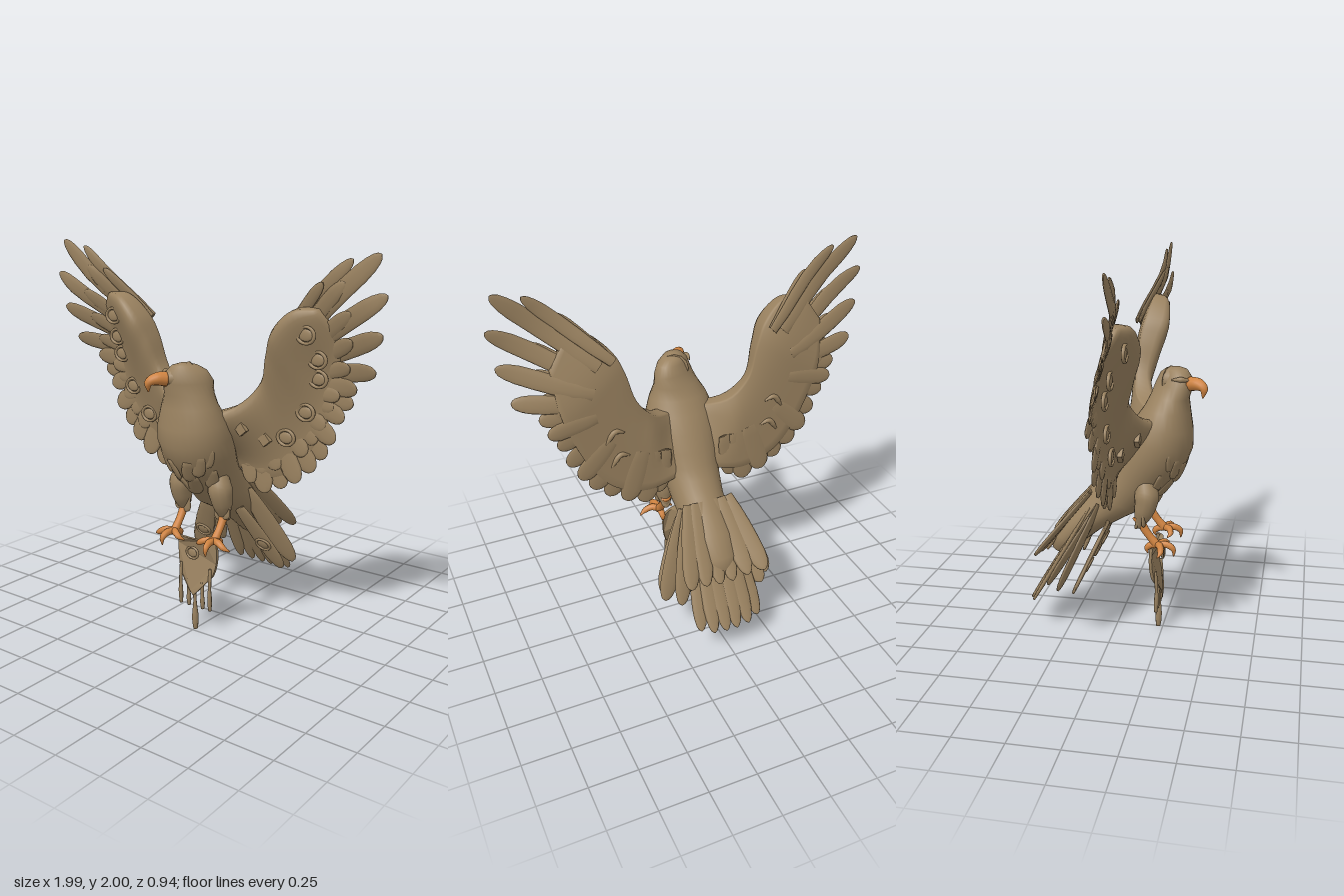
import * as THREE from 'three';

const V = (x, y, z) => new THREE.Vector3(x, y, z);
const plumage = new THREE.MeshStandardMaterial({ color: 0x9a8260 });
plumage.name = 'brown plumage';
const horn = new THREE.MeshStandardMaterial({ color: 0xcf8340 });
horn.name = 'orange horn';
const TAU = Math.PI * 2;
const smooth = THREE.MathUtils.smoothstep;

// Closed skin over a list of rings, wound so that it faces outward
function loft(rings) {
  const n = rings[0].length, m = rings.length, pts = rings.flat(), idx = [];
  const mid = r => r.reduce((a, p) => a.add(p), V(0, 0, 0)).divideScalar(n);
  pts.push(mid(rings[0]), mid(rings[m - 1]));
  for (let j = 0; j < n; j++) {
    const k = (j + 1) % n;
    for (let i = 0; i < m - 1; i++) {
      const a = i * n + j, b = i * n + k;
      idx.push(a, b, a + n, b, b + n, a + n);
    }
    idx.push(n * m, k, j, n * m + 1, (m - 1) * n + j, (m - 1) * n + k);
  }
  let vol = 0;
  for (let i = 0; i < idx.length; i += 3)
    vol += pts[idx[i]].dot(V(0, 0, 0).crossVectors(pts[idx[i + 1]], pts[idx[i + 2]]));
  if (vol < 0) idx.reverse();
  const g = new THREE.BufferGeometry().setFromPoints(pts);
  g.setIndex(idx);
  g.computeVertexNormals();
  return g;
}

// Tapered round limb along a smooth path
function limb(path, radii, seg = 16, sides = 12) {
  const curve = new THREE.CatmullRomCurve3(path.map(p => V(...p)));
  const f = curve.computeFrenetFrames(seg);
  return loft(Array.from({ length: seg + 1 }, (_, i) => {
    const u = i / seg * (radii.length - 1), k = Math.min(Math.floor(u), radii.length - 2);
    const r = THREE.MathUtils.lerp(radii[k], radii[k + 1], u - k), c = curve.getPointAt(i / seg);
    return Array.from({ length: sides }, (_, j) => c.clone()
      .addScaledVector(f.normals[i], r * Math.cos(j / sides * TAU))
      .addScaledVector(f.binormals[i], r * Math.sin(j / sides * TAU)));
  }));
}

// Flat round-tipped feather; warp may bend each point
function feather(base, tip, w, normal, th = 0.009, warp = p => p) {
  const prof = [[0, .7], [.2, .88], [.4, .98], [.6, 1], [.78, .96], [.88, .82], [.95, .6], [.985, .36], [1, .08]];
  const dir = tip.clone().sub(base).normalize();
  const side = V(0, 0, 0).crossVectors(normal, dir).normalize();
  const nrm = V(0, 0, 0).crossVectors(dir, side);
  return loft(prof.map(([u, k]) => Array.from({ length: 10 }, (_, j) => {
    const a = j / 10 * TAU;
    return warp(base.clone().lerp(tip, u).addScaledVector(side, w * k * Math.cos(a))
      .addScaledVector(nrm, th * (.4 + .6 * k) * Math.sin(a)));
  })));
}

// Wing outline curves (z of the leading edge holds the thickness)
const curve2 = pts => new THREE.CatmullRomCurve3(pts.map(p => V(p[0], p[1], p[2] || 0)));
const lead = curve2([[.03, 1.17, .14], [.20, 1.235, .14], [.31, 1.36, .095], [.36, 1.52, .13], [.41, 1.63, .16], [.52, 1.73, .11], [.64, 1.735, .03]]);
const trail = curve2([[.04, .90], [.27, .84], [.46, .91], [.58, 1.06], [.66, 1.23], [.71, 1.39], [.73, 1.60]]);
const sweep = p => .115 * smooth((p.x - .15) * .6 + (p.y - 1.15) * .8, .45, .95);
function wingPoint(t, c, front) {
  const a = lead.getPoint(t), p = a.clone().lerp(trail.getPoint(t), c), th = a.z;
  const root = .11 * (1 - smooth(p.x, .03, .25)) * smooth(p.y, .85, 1.15);
  const back = .005 + sweep(p) + root + th * .35 * (1 - c) ** 5;
  p.z = back + (front ? .014 + th * 2.6 * c ** .4 * (1 - c) ** 1.8 : 0);
  return p;
}

// Flight feathers: base x, y, tip x, y, half width
const flight = [
  [.43, 1.61, .815, 1.968, .036], [.50, 1.59, .955, 1.995, .046], [.52, 1.52, .995, 1.82, .046],
  [.54, 1.46, .972, 1.64, .047], [.55, 1.41, .925, 1.465, .046], [.54, 1.37, .81, 1.365, .048],
  [.53, 1.33, .78, 1.285, .048], [.52, 1.30, .735, 1.205, .05], [.49, 1.24, .69, 1.09, .054],
  [.46, 1.18, .635, 1.0, .057], [.42, 1.13, .57, .92, .06], [.36, 1.1, .485, .85, .06],
  [.30, 1.08, .39, .80, .062], [.24, 1.06, .29, .76, .064], [.17, 1.05, .21, .80, .05]];

export function createModel() {
  const model = new THREE.Group();
  const add = (name, geo, mat = plumage, parent = model) => {
    const m = new THREE.Mesh(geo, mat);
    m.name = name;
    parent.add(m);
    return m;
  };
  const group = name => {
    const g = new THREE.Group();
    g.name = name;
    model.add(g);
    return g;
  };
  // Raised oval ornament with a ridge inside
  const rosette = (parent, p, r, tilt = 0) => {
    const g = new THREE.Group();
    g.name = 'rosette';
    g.position.copy(p);
    g.rotation.x = tilt;
    add('rim', new THREE.TorusGeometry(r, r * .2, 8, 24), plumage, g).scale.y = .85;
    add('centre', new THREE.SphereGeometry(r * .85, 16, 8), plumage, g).scale.set(1, .75, .2);
    parent.add(g);
  };

  // Body and head: front z, y, back z, y, half width, turn of the head
  const sections = [
    [.325, 1.446, .285, 1.446, .02, 0], [.36, 1.435, .245, 1.435, .055, .015], [.385, 1.40, .215, 1.41, .085, .035],
    [.39, 1.35, .19, 1.36, .104, .045], [.373, 1.29, .17, 1.30, .123, .02], [.38, 1.22, .14, 1.24, .155, 0],
    [.395, 1.12, .09, 1.17, .185, 0], [.395, 1.03, .045, 1.09, .196, 0], [.362, .94, 0, 1.0, .186, 0],
    [.305, .865, -.03, .93, .168, 0], [.23, .785, -.07, .87, .15, 0], [.135, .68, -.13, .80, .138, 0],
    [.04, .63, -.20, .72, .13, 0], [-.08, .56, -.27, .64, .13, 0], [-.19, .47, -.34, .54, .11, 0], [-.26, .41, -.36, .45, .08, 0]];
  add('body', loft(sections.map(([fz, fy, bz, by, w, turn]) => Array.from({ length: 28 }, (_, j) => {
    const s = Math.sin(j / 28 * TAU), c = Math.cos(j / 28 * TAU);
    return V(c * w - turn * s + turn * .3, (fy + by) / 2 + s * (fy - by) / 2, (fz + bz) / 2 + s * (fz - bz) / 2);
  }))));
  // Face and hooked beak, turned toward the right
  add('face', limb([[.01, 1.375, .27], [-.035, 1.375, .36], [-.072, 1.372, .42]], [.075, .064, .038, .01]));
  add('beak', limb([[-.05, 1.372, .38], [-.075, 1.376, .42], [-.10, 1.36, .453], [-.105, 1.312, .45]], [.037, .033, .022, .003]), horn);
  add('rightBrow', limb([[-.085, 1.395, .29], [-.088, 1.398, .34], [-.07, 1.39, .38]], [.004, .015, .005]));

  const tail = group('tail');
  const tn = V(0, -.55, .83);
  for (const s of [-1, 1]) {
    const label = s > 0 ? 'left' : 'right';
    // Wing
    const wing = group(label + 'Wing');
    const rings = Array.from({ length: 31 }, (_, i) => {
      const ring = [];
      for (let k = 0; k <= 14; k++) ring.push(wingPoint(i / 30, (k / 14) ** 1.5, true));
      for (let k = 14; k >= 0; k--) ring.push(wingPoint(i / 30, (k / 14) ** 1.5, false));
      return ring.map(p => V(p.x * s, p.y, p.z));
    });
    add('wingArm', loft(rings), plumage, wing);
    flight.forEach(([bx, by, tx, ty, w], i) => {
      const bend = z => p => V(p.x * s, p.y, p.z + z + sweep(p));
      const base = V(bx, by, 0), tip = V(tx, ty, 0);
      add('flightFeather', feather(base, tip, w, V(0, 0, 1), .009, bend(.01 + (i % 3) * .006)), plumage, wing);
      const short = base.clone().lerp(tip, i < 5 ? .62 : .74);
      short.y += .025;
      add('covertFeather', feather(base, short, w * .85, V(0, 0, 1), .009, bend(.026 - (i % 2) * .006)), plumage, wing);
    });
    for (const [t, c] of [[.845, .36], [.80, .62], [.73, .72], [.55, .74], [.37, .68]]) {
      const p = wingPoint(t, c, true);
      rosette(wing, V(p.x * s, p.y, p.z + .01), .046);
    }
    for (const [t, c] of [[.26, .55], [.18, .32]]) {
      const p = wingPoint(t, c, true), d = add('diamondStud', new THREE.BoxGeometry(.05, .05, .025), plumage, wing);
      d.position.set(p.x * s, p.y, p.z + .006);
      d.rotation.z = .7;
    }
    // Low ripples on the rear of the wing
    for (const [t, c] of [[.42, .55], [.34, .7]]) {
      const p = wingPoint(t, c, false);
      add('rearRipple', limb([[(p.x - .05) * s, p.y + .03, p.z], [p.x * s, p.y + .045, p.z - .002], [(p.x + .05) * s, p.y - .02, p.z]],
        [.004, .014, .014, .004]), plumage, wing);
    }

    // Tail: long centre feathers, an upper layer and broad outer lobes
    const plume = (name, b, t, w, n) => add(name, feather(V(b[0] * s, b[1], b[2]), V(t[0] * s, t[1], t[2]), w, n, .012), plumage, tail);
    for (const [x, y, z] of [[.03, .155, -.46], [.10, .16, -.455], [.165, .175, -.43]])
      plume('tailFeather', [.03 + x * .35, .70, -.13], [x, y, z], .046, tn);
    for (const [x, y, z, w] of [[.035, .42, -.385, .045], [.12, .44, -.395, .05], [.21, .45, -.405, .054]])
      plume('upperTailFeather', [.02 + x * .4, .78, -.13], [x, y, z], w, tn.clone().add(V(x * s, 0, 0)));
    for (const [x, y, z, w] of [[.235, .30, -.33, .056], [.30, .30, -.26, .06]])
      plume('outerTailFeather', [x * .36, .72, -.08], [x, y, z], w, tn.clone().add(V(.3 * s, 0, 0)));
    plume('lowerTailFeather', [.10, .63, -.03], [.275, .28, -.185], .06, V(0, -.45, .88));
    rosette(tail, V(.2 * s, .42, -.112), .042, .45);

    // Thigh, shank and toes
    const leg = group(label + 'Leg');
    add('thigh', limb([[.10 * s, .87, .16], [.125 * s, .78, .175], [.13 * s, .70, .16], [.13 * s, .62, .135]], [.05, .066, .052, .02]), plumage, leg);
    for (const [dx, y, z] of [[-.025, .62, .16], [.02, .63, .165], [.0, .61, .12]])
      add('thighTuft', feather(V((.13 + dx) * s, .74, .165), V((.13 + dx) * s, y, z), .03, V(0, .3, 1), .012), plumage, leg);
    add('shank', limb([[.13 * s, .68, .13], [.13 * s, .60, .175], [.13 * s, .525, .235]], [.03, .022, .02, .024]), horn, leg);
    for (const path of [
      [[.13, .53, .235], [.17, .535, .255], [.21, .515, .262], [.24, .50, .25]],
      [[.13, .53, .235], [.095, .535, .265], [.065, .52, .275], [.04, .505, .262]],
      [[.13, .53, .235], [.135, .535, .285], [.14, .515, .32], [.14, .475, .322]],
      [[.13, .53, .235], [.13, .525, .20], [.13, .505, .18], [.13, .48, .185]]])
      add('toe', limb(path.map(p => [p[0] * s, p[1], p[2]]), [.02, .019, .016, .003], 12, 8), horn, leg);

    // Breast tufts
    for (const [x, y, z, tx, ty, tz] of [[.15, 1.03, .30, .12, .93, .295], [.115, .99, .33, .08, .88, .305],
      [.06, .96, .355, .03, .85, .305], [.13, .91, .255, .10, .80, .21], [.05, .87, .30, .015, .76, .22]])
      add('breastTuft', feather(V(x * s, y, z), V(tx * s, ty, tz), .036, V(.6 * s, 0, 1), .012));
  }

  // Curved shield held by the feet
  const shield = group('shield');
  const outline = new THREE.Shape();
  outline.moveTo(-.12, .50);
  outline.quadraticCurveTo(0, .53, .12, .50);
  outline.quadraticCurveTo(.135, .40, .105, .32);
  outline.quadraticCurveTo(.05, .25, 0, .2);
  outline.quadraticCurveTo(-.05, .25, -.105, .32);
  outline.quadraticCurveTo(-.135, .40, -.12, .50);
  const plate = new THREE.ExtrudeGeometry(outline, { depth: .016, bevelEnabled: false, curveSegments: 10 });
  const pos = plate.attributes.position;
  for (let i = 0; i < pos.count; i++) pos.setZ(i, pos.getZ(i) + .23 - 2.6 * pos.getX(i) ** 2);
  plate.computeVertexNormals();
  add('plate', plate, plumage, shield);
  rosette(shield, V(0, .44, .248), .036);

  // Hanging tassels with blunt weights
  for (const [x, top, low, r] of [[0, .24, .005, .017], [-.042, .28, .13, .012], [.048, .28, .13, .012], [-.095, .36, .13, .012], [.095, .36, .13, .012]])
    add('tassel', limb([[x, top, .23 - x * x], [x, (top + low) / 2, .228], [x, low, .225]],
      [.008, .009, .009, r * .75, r, r, r * .7], 18, 8), plumage, shield);
  return model;
}
